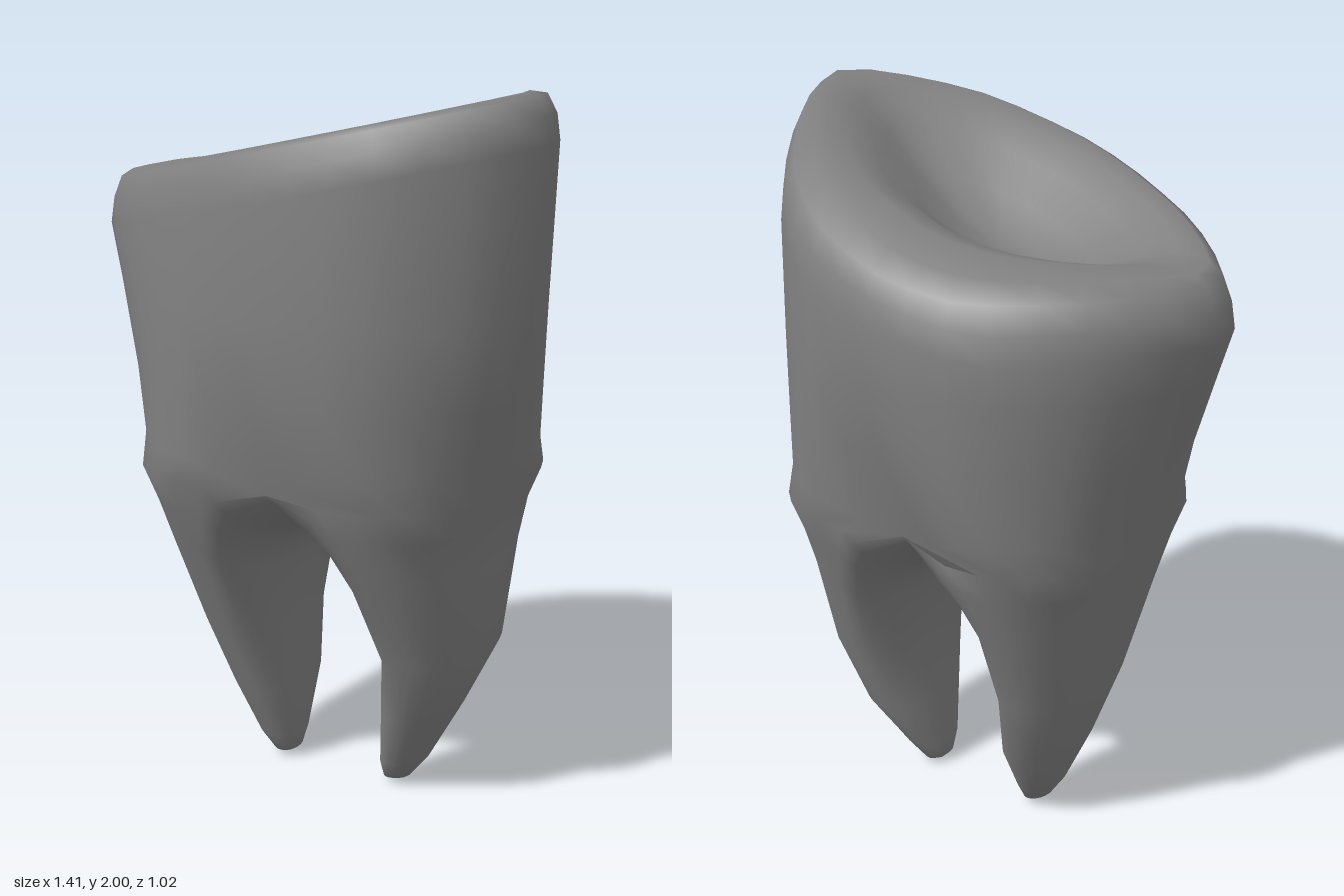
import * as THREE from 'three';
import { mergeVertices } from 'three/addons/utils/BufferGeometryUtils.js';

const N = 16; // segments per half ring
const V = (x, y, z) => new THREE.Vector3(x, y, z);
const lerp = THREE.MathUtils.lerp;
const power = (v, e) => Math.sign(v) * Math.abs(v) ** e;

// Widest crown outline, as [x, z] halves: +x front to back, then -x back to front
const rightHalf = [[0.03, 0.51], [0.18, 0.51], [0.38, 0.485], [0.61, 0.34], [0.705, 0.21], [0.66, 0.03],
  [0.56, -0.17], [0.45, -0.33], [0.31, -0.43], [0.12, -0.49], [0.03, -0.51]];
const leftHalf = [[0.03, -0.51], [-0.05, -0.515], [-0.17, -0.505], [-0.29, -0.47], [-0.46, -0.365], [-0.55, -0.28],
  [-0.66, -0.12], [-0.71, 0.05], [-0.64, 0.16], [-0.46, 0.32], [-0.29, 0.41], [-0.13, 0.475], [0.03, 0.51]];
const sample = pts => new THREE.CatmullRomCurve3(pts.map(p => V(p[0], 0, p[1]))).getSpacedPoints(N);
const outline = [...sample(rightHalf).slice(0, N), ...sample(leftHalf).slice(0, N)];

// Sloping height of the biting edge, rounding down towards the back
const rimY = (x, z) => 1.85 + 0.237 * x - (0.66 + 0.4 * x) * Math.max(-0.45, Math.min(0, z)) ** 2;

// Crown ring that follows the tilted rim at a depth below it
const tilted = (depth, sx, sz, shiftZ = 0) => outline.map(p => {
  const x = p.x * sx, z = p.z * sz + shiftZ;
  return V(x, rimY(x, z) - depth, z);
});

// Level crown ring, blending to a rounded oval, pinched and dipped at mid front and back
const level = (y, sxL, sxR, sz, oval, pinchF, pinchB, dip) => outline.map((p, j) => {
  const a = -Math.PI / 2 + j * Math.PI / N;
  const c = Math.cos(a), s = -Math.sin(a);
  const ox = 0.705 * power(c, 0.85);
  const oz = 0.51 * power(s, 0.8);
  const mid = j % N === 0;
  const x = mid ? 0.025 : lerp(p.x, ox, oval) * (c > 0 ? sxR : sxL);
  const z = lerp(p.z, oz, oval) * sz;
  const groove = Math.exp(-(((x - 0.025) / 0.15) ** 2));
  return V(x, y - dip * groove, z * (1 - (z > 0 ? pinchF : pinchB) * groove));
});

const crownRows = [
  outline.map(() => V(0, 1.645, 0.03)),
  tilted(0.195, 0.2, 0.15, 0.03),
  tilted(0.14, 0.42, 0.31, 0.04),
  tilted(0.065, 0.61, 0.49, 0.05),
  tilted(0.015, 0.76, 0.65, 0.045),
  tilted(0, 0.88, 0.81, 0.02),
  tilted(0.015, 0.945, 0.905, 0.005),
  tilted(0.07, 0.985, 0.955),
  tilted(0.14, 1, 0.985),
  level(1.42, 0.935, 0.935, 1.005, 0.2, 0, 0.01, 0),
  level(1.2, 0.83, 0.865, 0.99, 0.5, 0.02, 0.1, 0),
  level(1.02, 0.75, 0.805, 0.97, 0.8, 0.15, 0.25, 0.08),
];
const crownBase = crownRows[crownRows.length - 1];

// Root sections: outer y, inner y, inner x, middle x, outer x, front z, back z, roundness
const roots = {
  '1': [[0.93, 0.75, 0.075, 0.19, 0.545, 0.435, -0.425, 0.75], [0.84, 0.71, 0.13, 0.23, 0.515, 0.4, -0.395, 0.85],
    [0.72, 0.62, 0.17, 0.27, 0.5, 0.345, -0.35, 0.95],
    [0.45, 0.42, 0.195, 0.32, 0.475, 0.225, -0.255, 1], [0.25, 0.23, 0.172, 0.27, 0.375, 0.15, -0.2, 1],
    [0.08, 0.07, 0.155, 0.21, 0.285, 0.08, -0.1, 1], [0.02, 0.02, 0.16, 0.19, 0.235, 0.045, -0.06, 1]],
  '-1': [[0.93, 0.75, 0.035, 0.16, 0.508, 0.435, -0.425, 0.75], [0.84, 0.71, 0.09, 0.2, 0.482, 0.4, -0.395, 0.85],
    [0.72, 0.62, 0.12, 0.24, 0.455, 0.345, -0.35, 0.95],
    [0.45, 0.42, 0.128, 0.24, 0.395, 0.225, -0.255, 1], [0.25, 0.23, 0.12, 0.21, 0.325, 0.15, -0.2, 1],
    [0.08, 0.07, 0.128, 0.185, 0.25, 0.08, -0.1, 1], [0.02, 0.02, 0.14, 0.17, 0.21, 0.045, -0.06, 1]],
};

function rootRows(side) {
  // Outer half of the crown base, closed by the arch between the roots
  const start = side > 0 ? 0 : N;
  const first = [];
  for (let j = 0; j <= N; j++) first.push(crownBase[(start + j) % (2 * N)].clone());
  const from = first[N], to = first[0];
  for (let j = 1; j < N; j++) {
    const z = lerp(from.z, to.z, 0.5 * (1 - Math.cos(j * Math.PI / N)));
    const end = z > 0 ? Math.max(from.z, to.z) : Math.min(from.z, to.z);
    first.push(V(0.025, lerp(0.76, from.y, (z / end) ** 2), z));
  }
  const rows = [first];
  for (const [yOut, yIn, xIn, xMid, xOut, zF, zB, round] of roots[side]) {
    rows.push(first.map((_, j) => {
      const a = -Math.PI / 2 + (side > 0 ? 0 : Math.PI) + j * Math.PI / N;
      const c = side * Math.cos(a), s = -Math.sin(a);
      const x = xMid + (c > 0 ? (xOut - xMid) * power(c, round) : (xMid - xIn) * c);
      const z = power(s, c > 0 ? round : 1);
      return V(side * x, lerp(yOut, yIn, Math.max(0, -c)), s > 0 ? z * zF : -z * zB);
    }));
  }
  rows.push(first.map(() => V(side * 0.18, 0, -0.01))); // tip
  return rows;
}

// Skin neighbouring closed rings with triangles
function skin(rows, out) {
  const tri = (a, b, c) => {
    if (a.distanceTo(b) > 1e-5 && b.distanceTo(c) > 1e-5 && c.distanceTo(a) > 1e-5)
      for (const p of [a, b, c]) out.push(p.x, p.y, p.z);
  };
  for (let i = 0; i < rows.length - 1; i++) {
    const n = rows[i].length;
    for (let j = 0; j < n; j++) {
      const k = (j + 1) % n;
      tri(rows[i][j], rows[i + 1][j], rows[i + 1][k]);
      tri(rows[i][j], rows[i + 1][k], rows[i][k]);
    }
  }
}

export function createModel() {
  const positions = [];
  skin(crownRows, positions);
  skin(rootRows(1), positions);
  skin(rootRows(-1), positions);
  let geometry = new THREE.BufferGeometry();
  geometry.setAttribute('position', new THREE.Float32BufferAttribute(positions, 3));
  geometry = mergeVertices(geometry, 1e-4);
  geometry.computeVertexNormals();

  const grey = new THREE.MeshStandardMaterial({ color: 0x808080 });
  grey.name = 'enamel grey';
  const tooth = new THREE.Mesh(geometry, grey);
  tooth.name = 'tooth';
  const group = new THREE.Group();
  group.name = 'molar';
  group.add(tooth);
  return group;
}
